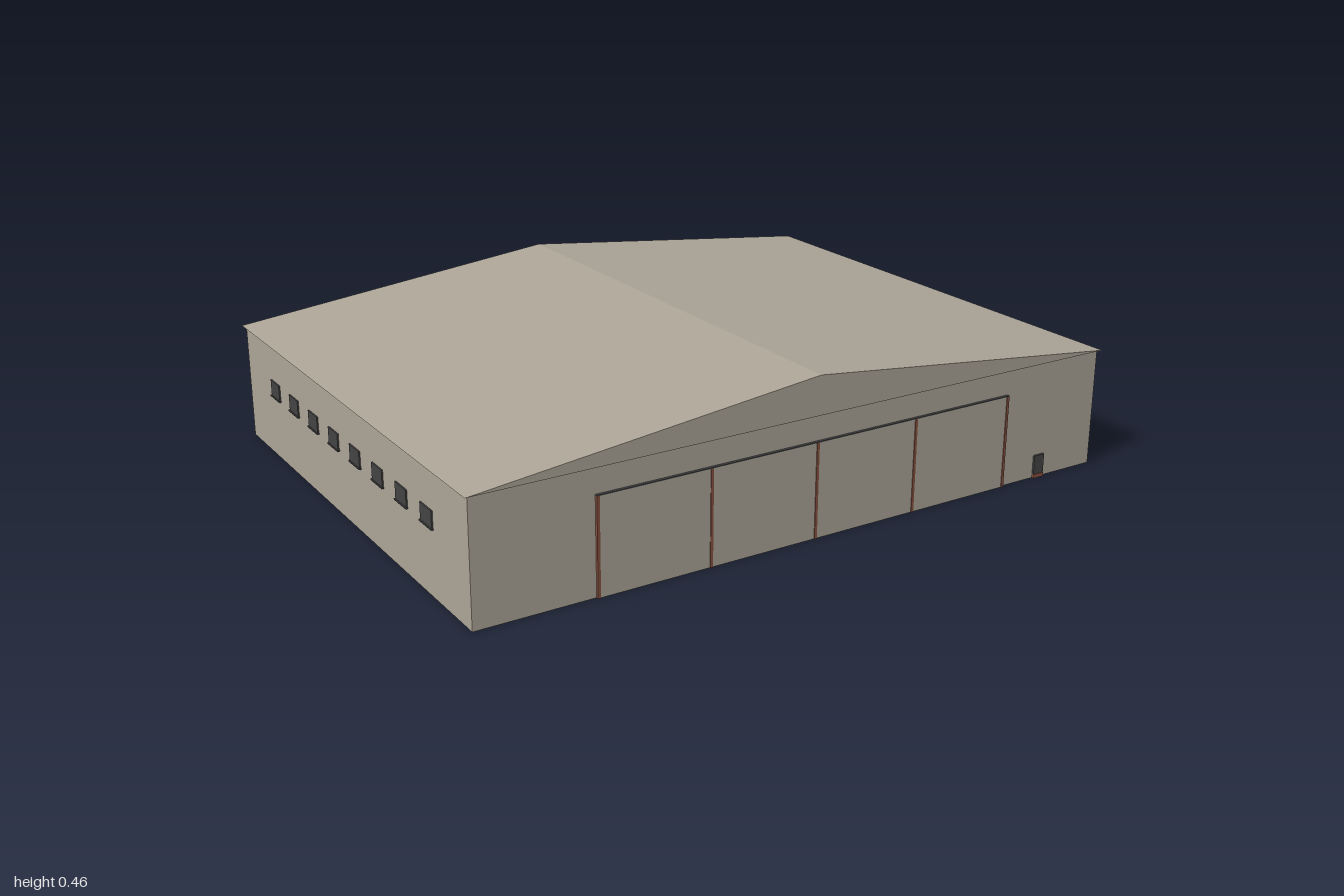
import * as THREE from 'three';

const mat = (name, color, side = THREE.FrontSide) => {
  const m = new THREE.MeshStandardMaterial({ color, side, flatShading: true });
  m.name = name;
  return m;
};

export function createModel() {
  const root = new THREE.Group();
  root.name = 'warehouse';
  const cladding = mat('beige cladding', 0xaca497, THREE.DoubleSide);
  const dark = mat('dark glass', 0x434345);
  const rust = mat('rust trim', 0x86503f);

  const WX = 0.99, WZ = 0.75, EAVE = 0.345, RIDGE = 0.455, RX = 1, RZ = 0.76;

  const add = (parent, name, geo, material, x = 0, y = 0, z = 0, ry = 0) => {
    const m = new THREE.Mesh(geo, material);
    m.name = name;
    m.position.set(x, y, z);
    m.rotation.y = ry;
    parent.add(m);
    return m;
  };
  // Box given by its centre x, bottom y and its z range
  const box = (parent, name, material, x, y, w, h, z0, z1) =>
    add(parent, name, new THREE.BoxGeometry(w, h, z1 - z0), material, x, y + h / 2, (z0 + z1) / 2);

  // Thin outer walls, open at the floor
  for (const s of [1, -1]) {
    const turn = s > 0 ? 0 : Math.PI;
    add(root, s > 0 ? 'frontWall' : 'backWall', new THREE.PlaneGeometry(2 * WX, EAVE), cladding, 0, EAVE / 2, s * WZ, turn);
    add(root, s > 0 ? 'leftWall' : 'rightWall', new THREE.PlaneGeometry(2 * WZ, EAVE), cladding, s * WX, EAVE / 2, 0, s * Math.PI / 2);
  }

  // Roof: two slopes, two gable ends and a narrow soffit
  const roof = new THREE.Group();
  roof.name = 'roof';
  root.add(roof);
  const rise = RIDGE - EAVE;
  for (const s of [1, -1]) {
    const slope = new THREE.PlaneGeometry(Math.hypot(RX, rise), 2 * RZ)
      .rotateX(-Math.PI / 2)
      .rotateZ(-s * Math.atan2(rise, RX));
    add(roof, 'roofSlope', slope, cladding, s * RX / 2, (EAVE + RIDGE) / 2, 0);
    const gable = new THREE.Shape([
      new THREE.Vector2(-RX, EAVE), new THREE.Vector2(RX, EAVE), new THREE.Vector2(0, RIDGE),
    ]);
    add(roof, 'gable', new THREE.ShapeGeometry(gable), cladding, 0, 0, s * RZ, s > 0 ? 0 : Math.PI);
  }
  const rect = (x, z) => [[-x, -z], [x, -z], [x, z], [-x, z]].map(p => new THREE.Vector2(...p));
  const ring = new THREE.Shape(rect(RX, RZ));
  ring.holes.push(new THREE.Path(rect(WX, WZ).reverse()));
  add(roof, 'soffit', new THREE.ShapeGeometry(ring).rotateX(Math.PI / 2), cladding, 0, EAVE, 0);

  // Windows with sills, facing +z of their group and set through the wall
  const windowRow = (name, count, span, dist, ry) => {
    const row = new THREE.Group();
    row.name = name;
    row.rotation.y = ry;
    root.add(row);
    for (let i = 0; i < count; i++) {
      const x = -span + (2 * span * i) / (count - 1);
      box(row, 'window', dark, x, 0.188, 0.066, 0.047, dist - 0.003, dist + 0.004);
      box(row, 'windowSill', dark, x, 0.185, 0.072, 0.004, dist, dist + 0.007);
    }
  };
  windowRow('leftWindows', 8, 0.52, WX, Math.PI / 2);
  windowRow('rightWindows', 8, 0.52, WX, -Math.PI / 2);
  windowRow('backWindows', 10, 0.69, WZ, Math.PI);

  // Sliding hangar doors: four panels between rust posts, dark inside
  const doors = new THREE.Group();
  doors.name = 'hangarDoors';
  root.add(doors);
  const DW = 0.652, DH = 0.27, pitch = DW / 2;
  for (let i = 0; i < 4; i++) {
    box(doors, 'doorPanel', cladding, -DW + pitch * (i + 0.5), 0, pitch - 0.008, DH, WZ + 0.001, WZ + 0.006);
  }
  for (let i = 0; i < 5; i++) {
    box(doors, 'doorPost', rust, -DW + pitch * i, 0, 0.008, DH, WZ, WZ + 0.008);
  }
  box(doors, 'doorTopRail', dark, 0, DH, 2 * DW + 0.008, 0.003, WZ, WZ + 0.008);
  add(doors, 'doorInside', new THREE.PlaneGeometry(2 * DW, DH), dark, 0, DH / 2, WZ - 0.002, Math.PI);

  // Small side door with a rust threshold
  const side = new THREE.Group();
  side.name = 'sideDoor';
  root.add(side);
  box(side, 'sideDoorLeaf', dark, 0.79, 0.012, 0.036, 0.056, WZ - 0.002, WZ + 0.006);
  box(side, 'sideDoorStep', rust, 0.79, 0, 0.036, 0.012, WZ, WZ + 0.008);

  return root;
}
